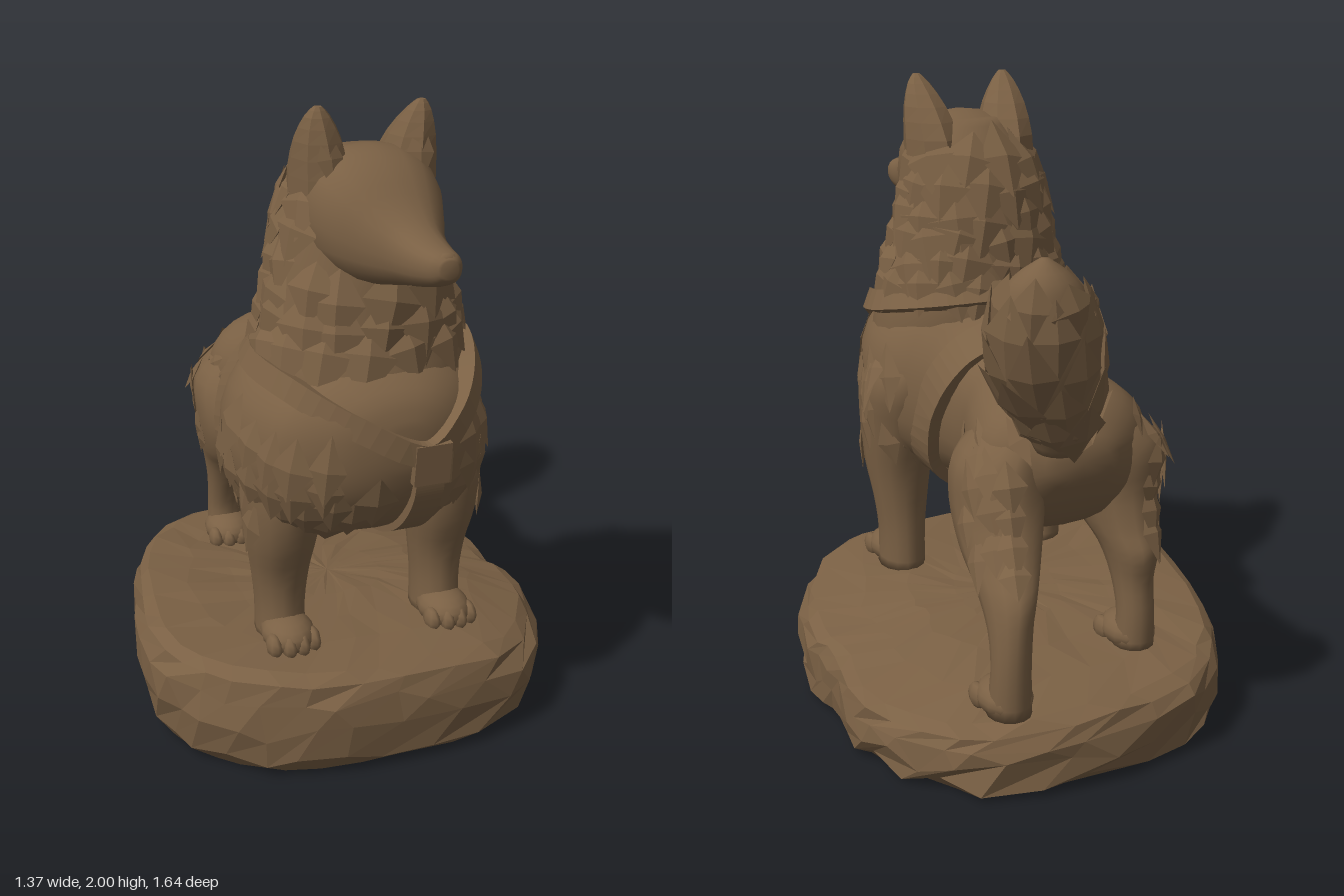
import * as THREE from 'three';
import { mergeGeometries } from 'three/addons/utils/BufferGeometryUtils.js';

const V = (x, y, z) => new THREE.Vector3(x, y, z);
const TAU = Math.PI * 2;

// Seeded random in -1..1
let seed = 7;
const rnd = () => {
  seed = (seed * 16807) % 2147483647;
  return (seed / 2147483647) * 2 - 1;
};

// Smooth interpolation between cross-section rows, u in 0..1
function rowAt(rows, u) {
  const f = Math.min(Math.max(u, 0), 1) * (rows.length - 1);
  const i = Math.min(Math.floor(f), rows.length - 2), t = f - i;
  const r = k => rows[Math.min(Math.max(k, 0), rows.length - 1)];
  return rows[i].map((_, c) => {
    const a = r(i - 1)[c], b = r(i)[c], d = r(i + 1)[c], e = r(i + 2)[c];
    return b + 0.5 * t * (d - a + t * (2 * a - 5 * b + 4 * d - e + t * (3 * (b - d) + e - a)));
  });
}

// Upright section: [y, cx, cz, halfX, halfZ], listed bottom to top
const upright = ([y, cx, cz, hx, hz], a) => V(cx + hx * Math.cos(a), y, cz + hz * Math.sin(a));
// Lengthwise section, slightly squared: [z, cx, top, bottom, halfX], listed front to back
const square = v => Math.sign(v) * Math.abs(v) ** 0.86;
const lengthwise = ([z, cx, top, bot, hx], a) =>
  V(cx + hx * square(Math.cos(a)), (top + bot) / 2 + (top - bot) / 2 * square(Math.sin(a)), z);

// Closed skin over a grid of rings
function skin(rings) {
  const n = rings[0].length, pos = [], idx = [];
  rings.forEach(r => r.forEach(p => pos.push(p.x, p.y, p.z)));
  for (let i = 0; i < rings.length - 1; i++) for (let j = 0; j < n; j++) {
    const a = i * n + j, b = i * n + (j + 1) % n;
    idx.push(a, a + n, b, b, a + n, b + n);
  }
  [0, rings.length - 1].forEach((i, end) => {
    const c = rings[i].reduce((s, p) => s.add(p), V(0, 0, 0)).divideScalar(n);
    const k = pos.length / 3;
    pos.push(c.x, c.y, c.z);
    for (let j = 0; j < n; j++) {
      const a = i * n + j, b = i * n + (j + 1) % n;
      idx.push(...(end ? [k, b, a] : [k, a, b]));
    }
  });
  const g = new THREE.BufferGeometry();
  g.setAttribute('position', new THREE.Float32BufferAttribute(pos, 3));
  g.setIndex(idx);
  g.computeVertexNormals();
  return g;
}

function flat(g) {
  const f = g.toNonIndexed();
  f.computeVertexNormals();
  return f;
}

function loft(rows, section, sides = 20, sub = 3) {
  const steps = (rows.length - 1) * sub;
  return skin(Array.from({ length: steps + 1 }, (_, i) => {
    const r = rowAt(rows, i / steps);
    return Array.from({ length: sides }, (_, j) => section(r, j / sides * TAU));
  }));
}

// Flat strap of rectangular section following points; outward(p) gives the facing
function strap(points, outward, width, thick, closed) {
  const curve = new THREE.CatmullRomCurve3(points, closed), N = 48, rings = [];
  for (let i = 0; i <= N; i++) {
    const p = curve.getPoint(i / N), t = curve.getTangent(i / N);
    const s = t.clone().cross(outward(p)).normalize();
    const o = s.clone().cross(t).normalize();
    rings.push([[-1, -1], [1, -1], [1, 1], [-1, 1]].map(([a, b]) =>
      p.clone().addScaledVector(s, a * width / 2).addScaledVector(o, b * thick / 2)));
  }
  return flat(skin(rings));
}

// Pointed lock of fur lying on a surface
function tuft(p, out, flow, len, w, thick) {
  const n = out.clone().normalize();
  const d = flow.clone().addScaledVector(n, -flow.dot(n)).normalize().addScaledVector(n, 0.09).normalize();
  const s = d.clone().cross(n).normalize();
  const g = new THREE.OctahedronGeometry(1, 0).scale(w / 2, len / 2, thick / 2);
  return g.applyMatrix4(new THREE.Matrix4().makeBasis(s, d, s.clone().cross(d)).setPosition(p));
}

// Tuft on a loft at parameter u and angle a, square to the surface, lying along flow
function tuftOn(rows, section, u, a, flow, len, w, thick) {
  const at = (du, da) => section(rowAt(rows, u + du), a + da);
  const out = at(.01, 0).sub(at(-.01, 0)).cross(at(0, .02).sub(at(0, -.02)));
  return tuft(at(0, 0), out, flow, len * (1 + 0.2 * rnd()), w * (1 + 0.15 * rnd()), thick);
}

export function createModel() {
  const model = new THREE.Group();
  const bronze = new THREE.MeshStandardMaterial({ color: 0x7a6044 });
  bronze.name = 'bronze brown';
  const add = (name, geo, parent = model) => {
    const m = new THREE.Mesh(geo, bronze);
    m.name = name;
    parent.add(m);
  };

  // Rock base: irregular outline, chipped sides, top falling away to the back and left
  const outline = new THREE.CatmullRomCurve3([
    [0, -.78], [.42, -.72], [.6, -.5], [.68, -.26], [.65, -.05], [.675, .1], [.62, .37], [.4, .66], [0, .71],
    [-.32, .68], [-.55, .55], [-.68, .35], [-.68, .06], [-.62, -.26], [-.52, -.53], [-.33, -.72]
  ].map(([x, z]) => V(x, 0, z)), true);
  const topY = (x, z) => 0.335 - 0.03 * x - 0.1 * Math.max(0, .2 - z) - 0.2 * Math.max(0, x - .3);
  // each row: height share, scale, jitter of outline, jitter of height
  const rockRows = [[0, .92, .01, 0], [.15, .98, .015, .02], [.45, 1, .015, .03], [.75, .995, .015, .02], [.93, .965, .015, .01],
    [1, .91, .015, .005], [1.01, .7, .04, .006], [1, .48, .04, .006], [1, .26, .04, .005], [1, .1, .01, .003]];
  const rockRings = rockRows.map(([h, s, j, jy], k) => Array.from({ length: 36 }, (_, i) => {
    const p = outline.getPoint(((i + (k % 2) * .4 + .25 * rnd()) / 36 + 1) % 1).multiplyScalar(s * (1 + j * rnd()));
    p.y = h * topY(p.x, p.z) + jy * rnd();
    return p;
  }));
  add('rockBase', flat(skin(rockRings)));

  // Torso, neck and head
  const body = [
    [.71, -.02, 1.14, 1.02, .06], [.68, -.03, 1.22, .91, .18], [.6, -.04, 1.28, .8, .3], [.5, -.04, 1.31, .73, .36],
    [.35, -.04, 1.33, .68, .4], [.2, -.045, 1.32, .67, .38], [.05, -.055, 1.26, .67, .295], [-.1, -.035, 1.205, .67, .25],
    [-.25, -.01, 1.175, .68, .27], [-.4, 0, 1.15, .69, .29], [-.5, .01, 1.1, .78, .22], [-.57, .02, 1, .9, .09]];
  const neck = [
    [1.15, -.03, .35, .345, .29], [1.25, -.03, .34, .335, .28], [1.35, -.025, .335, .305, .255], [1.5, -.03, .335, .265, .235],
    [1.65, -.03, .33, .23, .205], [1.77, -.02, .34, .19, .165], [1.86, -.02, .355, .12, .1]];
  const head = [
    [.815, .042, 1.655, 1.605, .025], [.79, .04, 1.672, 1.58, .05], [.73, .03, 1.685, 1.56, .068], [.66, .015, 1.715, 1.545, .088],
    [.6, 0, 1.76, 1.53, .125], [.53, -.015, 1.83, 1.515, .17], [.45, -.02, 1.875, 1.51, .2], [.35, -.02, 1.88, 1.51, .205],
    [.24, -.02, 1.83, 1.52, .175], [.17, -.02, 1.75, 1.56, .1]];
  add('torso', loft(body, lengthwise, 28));
  add('neck', loft(neck, upright, 24));
  add('head', loft(head, lengthwise, 20));
  add('nose', new THREE.SphereGeometry(.03, 10, 8).scale(1.1, .75, .7).translate(.042, 1.65, .79));

  // Ears, mirrored about the head's middle line
  for (const s of [-1, 1]) {
    const X = d => -.022 + s * d;
    add('ear', flat(loft([[1.68, X(.12), .33, .1, .14], [1.8, X(.13), .34, .09, .125], [1.9, X(.142), .365, .07, .085],
      [1.97, X(.152), .39, .038, .04], [2, X(.155), .402, .012, .012]], upright, 8, 2)));
    add('innerEar', tuft(V(X(.135), 1.86, .448), V(-s * .1, .35, 1), V(s * .1, 1, -.4), .2, .08, .02));
  }

  // Front and hind legs with paws
  const paw = (x, y, z, parent) => {
    add('paw', new THREE.SphereGeometry(1, 14, 10).scale(.083, .06, .105).translate(x, y + .04, z), parent);
    for (const k of [-1.5, -.5, .5, 1.5])
      add('toe', new THREE.SphereGeometry(1, 8, 6).scale(.024, .04, .045)
        .translate(x + k * .042, y + .03, z + .08 - Math.abs(k) * .018), parent);
  };
  const fur = [];
  for (const s of [-1, 1]) {
    const left = s > 0;
    const fx = left ? .245 : -.285, fy = left ? .32 : .335;
    const front = new THREE.Group();
    front.name = left ? 'leftFrontLeg' : 'rightFrontLeg';
    const fRows = [[fy, fx, .345, .078, .105], [.45, fx, .34, .078, .095], [.57, fx, .345, .092, .1], [.7, fx, .36, .112, .135],
      [.85, fx - s * .005, .345, .13, .18], [1, fx - s * .015, .305, .148, .195], [1.12, fx - s * .05, .29, .12, .16],
      [1.2, fx - s * .1, .28, .06, .08]];
    add('leg', loft(fRows, upright, 14), front);
    paw(fx, fy, .42, front);
    model.add(front);

    const hind = new THREE.Group();
    hind.name = left ? 'leftHindLeg' : 'rightHindLeg';
    const shift = y => left ? 0 : Math.min(1, Math.max(0, (.95 - y) / .45)) * .18;
    const footX = left ? .305 : -.22, hipX = s * .21, hy = left ? .24 : .27;
    const hRows = [[hy, 0, -.645, .068, .075], [.38, 0, -.66, .06, .062], [.5, .1, -.635, .064, .082], [.6, .3, -.565, .082, .135],
      [.68, .6, -.465, .11, .175], [.8, .9, -.385, .135, .19], [.93, 1, -.37, .13, .175], [1.03, 1, -.365, .1, .13], [1.1, 1, -.36, .04, .05]]
      .map(([y, k, z, hx, hz]) => [y, footX + (hipX - footX) * k - s * Math.max(0, y - .93) * .6, z + shift(y), hx, hz]);
    add('leg', loft(hRows, upright, 14), hind);
    paw(footX, hy, -.615 + shift(hy), hind);
    model.add(hind);

    // Fur locks on shoulder, elbow and thigh
    const out = left ? 0 : Math.PI;
    for (let i = 0; i < 7; i++) {
      fur.push(tuftOn(fRows, upright, .48 + .05 * i, out - s * (.2 + rnd() * .8), V(0, -1, -.3), .19, .1, .025));
      fur.push(tuftOn(hRows, upright, .5 + .05 * i, out - s * (.5 + .6 * rnd()), V(0, -1, -.45), .18, .09, .022));
    }
    for (let i = 0; i < 4; i++)
      fur.push(tuftOn(hRows, upright, .48 + .08 * i, -Math.PI / 2 + s * .3, V(0, -1, -.3), .18, .1, .04));
  }

  // Ruff: overlapping rows of broad locks, leaving the face clear
  [1.73, 1.65, 1.57, 1.49, 1.41, 1.34].forEach((y, k) => {
    let u = 0;
    while (u < 1 && rowAt(neck, u)[0] < y) u += .005;
    const n = 11 + k;
    for (let i = 0; i < n; i++) {
      const a = (i + (k % 2) / 2) / n * TAU;
      if (y > 1.55 && Math.sin(a) > .3) continue;
      fur.push(tuftOn(neck, upright, u + .025 * rnd(), a + rnd() * .12, V(.25 * rnd(), -1, .25 * rnd()), .24, .17, .055));
    }
  });

  // Chest locks in staggered columns, then flank locks
  for (let i = 0; i < 48; i++) {
    const side = i % 2 ? 1 : -1;
    const a = -Math.PI / 2 + side * (.3 + 1.45 * ((i * .382) % 1));
    fur.push(tuftOn(body, lengthwise, .1 + .36 * (i / 48), a, V(0, -1, -.25), .2, .12, .032));
  }
  for (let i = 0; i < 10; i++)
    fur.push(tuftOn(body, lengthwise, .66 + .028 * i, i % 2 ? .3 + rnd() * .4 : Math.PI - .3 + rnd() * .4, V(0, -.7, -1), .14, .06, .015));
  add('furLocks', mergeGeometries(fur));

  // Bushy tail carried upright, locks sweeping to a point
  const tail = [[1, .11, -.56, .06, .07], [1.09, .12, -.575, .1, .125], [1.2, .16, -.615, .145, .14], [1.34, .195, -.645, .16, .153],
    [1.46, .21, -.67, .14, .13], [1.55, .225, -.695, .09, .085], [1.61, .23, -.71, .012, .012]];
  add('tail', loft(tail, upright, 16));
  const tailFur = [];
  [.16, .3, .44, .58, .7].forEach((u, k) => {
    for (let i = 0; i < 7; i++) {
      const a = (i + k / 2) / 7 * TAU;
      const flow = upright(rowAt(tail, u + .1), a).sub(upright(rowAt(tail, u), a));
      tailFur.push(tuftOn(tail, upright, u, a, flow, k > 3 ? .18 : .26, .15, .04));
    }
  });
  add('tailLocks', mergeGeometries(tailFur));

  // Harness: girth strap wraps the torso on a slant
  const girth = Array.from({ length: 24 }, (_, i) => {
    const a = i / 24 * TAU, z = .06 - .11 * Math.sin(a);
    let u = 0;
    while (u < 1 && rowAt(body, u)[0] > z) u += .004;
    return lengthwise(rowAt(body, u), a).add(V(Math.cos(a) * .008, Math.sin(a) * .004, 0));
  });
  const harness = new THREE.Group();
  harness.name = 'harness';
  model.add(harness);
  const awayFrom = c => p => p.clone().sub(c);
  const girthOut = p => V(p.x + .05, p.y - .96, -.4 * Math.max(0, p.y - .96));
  add('girthStrap', strap(girth, girthOut, .13, .04, true), harness);
  const collar = [[-.03, 1.32, .075], [-.23, 1.305, .14], [-.355, 1.27, .32], [-.29, 1.225, .55], [-.14, 1.14, .675], [.04, 1.06, .71],
    [.16, 1.14, .665], [.25, 1.225, .54], [.3, 1.27, .32], [.18, 1.305, .14]].map(p => V(...p));
  add('collarStrap', strap(collar, awayFrom(V(-.03, 1.12, .33)), .07, .05, true), harness);
  const chest = [[.05, 1.02, .71], [.05, .91, .685], [.045, .8, .607], [.04, .725, .49], [.03, .675, .28]].map(p => V(...p));
  add('chestStrap', strap(chest, awayFrom(V(.04, 1, .3)), .09, .035, false), harness);
  add('buckle', new THREE.BoxGeometry(.11, .13, .045).rotateX(.12).translate(.05, 1.03, .712), harness);
  add('backPlate', new THREE.BoxGeometry(.22, .035, .14).rotateX(-.35).translate(-.05, 1.255, -.04), harness);

  return model;
}
